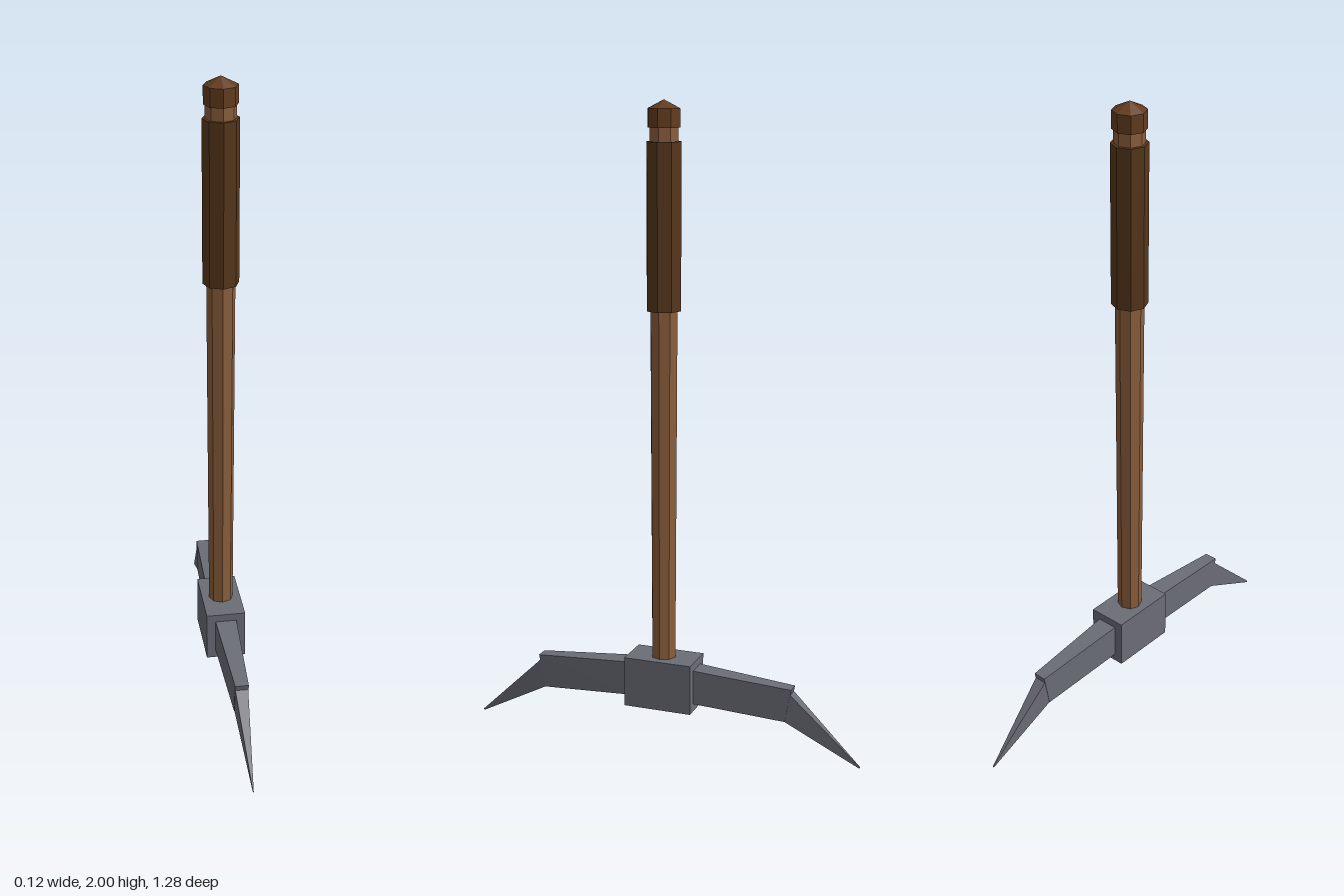
import * as THREE from 'three';

const SIDES = 8;

function material(name, color) {
  const m = new THREE.MeshStandardMaterial({ color, flatShading: true });
  m.name = name;
  return m;
}

// Upright octagonal post between two heights
function post(name, rTop, rBottom, y0, y1, mat) {
  const mesh = new THREE.Mesh(new THREE.CylinderGeometry(rTop, rBottom, y1 - y0, SIDES), mat);
  mesh.name = name;
  mesh.position.y = (y0 + y1) / 2;
  return mesh;
}

// Solid between two rectangular ends; each end is { w, top: [z, y], bottom: [z, y] }
function wedge(name, inner, outer, mat) {
  const p = [];
  for (const { w, top, bottom } of [inner, outer]) {
    p.push([-w, bottom[1], bottom[0]], [w, bottom[1], bottom[0]], [w, top[1], top[0]], [-w, top[1], top[0]]);
  }
  const index = [0, 3, 2, 0, 2, 1, 4, 5, 6, 4, 6, 7];
  for (let i = 0; i < 4; i++) {
    const j = (i + 1) % 4;
    index.push(i, j, j + 4, i, j + 4, i + 4);
  }
  const indexed = new THREE.BufferGeometry();
  indexed.setAttribute('position', new THREE.Float32BufferAttribute(p.flat(), 3));
  indexed.setIndex(index);
  const geometry = indexed.toNonIndexed();
  geometry.computeVertexNormals();
  const mesh = new THREE.Mesh(geometry, mat);
  mesh.name = name;
  return mesh;
}

export function createModel() {
  const wood = material('handle wood', 0x8b5e3c);
  const leather = material('grip leather', 0x56361c);
  const darkWood = material('pommel wood', 0x633c1e);
  const steel = material('steel', 0x6b6d76);

  const model = new THREE.Group();
  model.name = 'pickaxe';

  // Handle, grip and pommel
  model.add(post('handle', 0.046, 0.038, 0.11, 1.94, wood));
  model.add(post('grip', 0.055, 0.055, 1.38, 1.88, leather));
  model.add(post('pommel', 0.051, 0.051, 1.92, 1.975, darkWood));
  model.add(post('pommelCap', 0.001, 0.051, 1.975, 2.0, darkWood));

  // Head block
  const block = new THREE.Mesh(new THREE.BoxGeometry(0.124, 0.16, 0.22), steel);
  block.name = 'headBlock';
  block.position.y = 0.2;
  model.add(block);

  // Two matching picks, front and back
  for (const side of ['front', 'back']) {
    const pick = new THREE.Group();
    pick.name = side + 'Pick';
    pick.add(wedge('arm',
      { w: 0.034, top: [0.1, 0.256], bottom: [0.1, 0.146] },
      { w: 0.021, top: [0.425, 0.232], bottom: [0.405, 0.125] }, steel));
    pick.add(wedge('spike',
      { w: 0.02, top: [0.418, 0.218], bottom: [0.4, 0.127] },
      { w: 0.001, top: [0.642, 0.004], bottom: [0.639, 0] }, steel));
    if (side === 'back') pick.rotation.y = Math.PI;
    model.add(pick);
  }
  return model;
}
